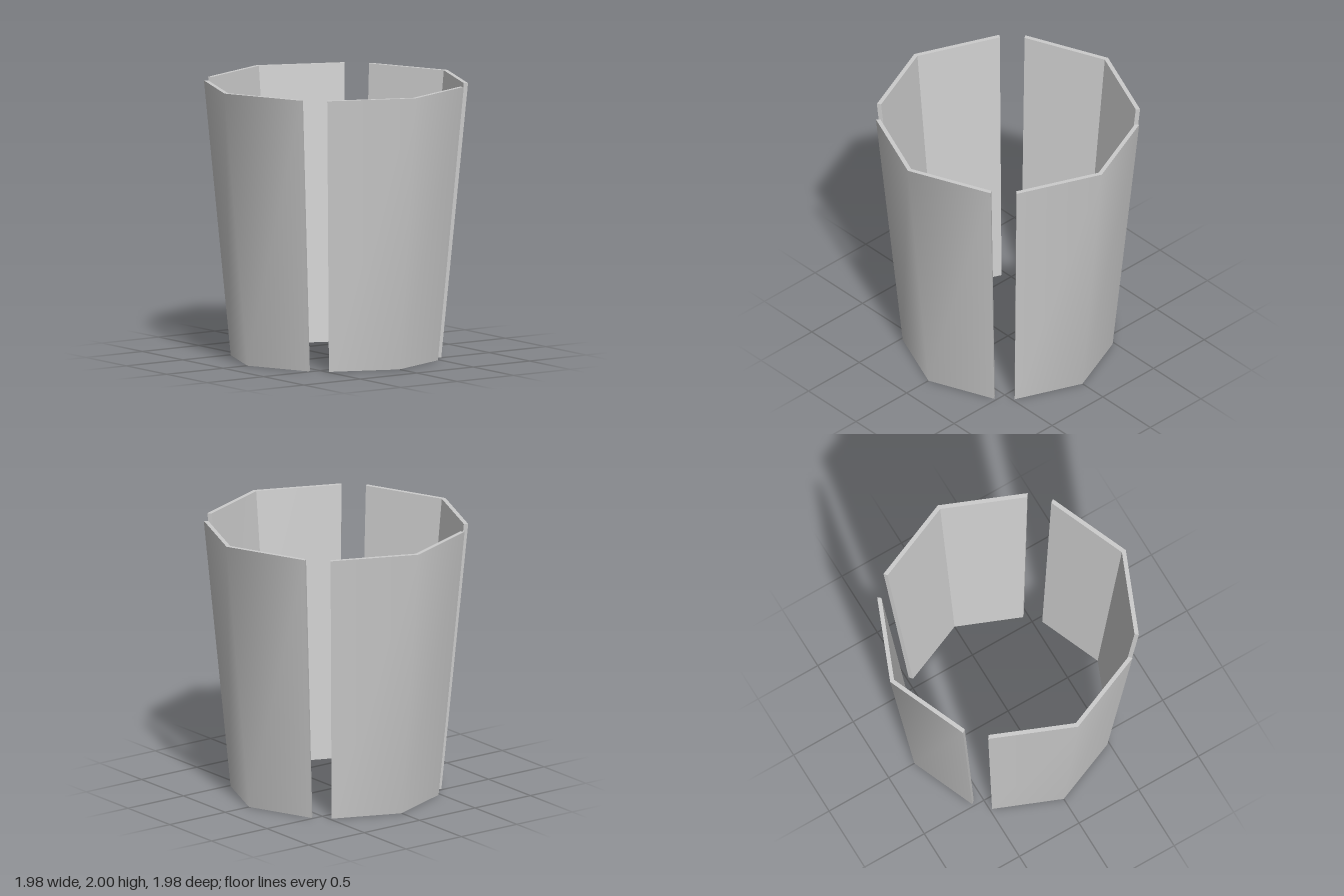
import * as THREE from 'three';

// Cross-sections of one panel as [x, z], running left to right
const OUTER_TOP = [[-0.605, 0.737], [0, 0.988], [0.605, 0.737]];
const INNER_TOP = [[-0.586, 0.712], [0, 0.955], [0.586, 0.712]];
const OUTER_BOTTOM = [[-0.483, 0.587], [0, 0.785], [0.483, 0.587]];
const INNER_BOTTOM = [[-0.462, 0.562], [0, 0.752], [0.462, 0.562]];
const HEIGHT = 2;

function panelGeometry() {
  const positions = [];
  const index = [];
  const at = (section, y) => section.map(([x, z]) => [x, y, z]);
  const ob = at(OUTER_BOTTOM, 0), ot = at(OUTER_TOP, HEIGHT);
  const ib = at(INNER_BOTTOM, 0), it = at(INNER_TOP, HEIGHT);

  // Adds vertices and returns the index of the first one
  const add = (...points) => {
    const start = positions.length / 3;
    points.forEach((p) => positions.push(...p));
    return start;
  };
  const face = (a, b, c, d) => index.push(a, b, c, a, c, d);
  const flatQuad = (...corners) => {
    const s = add(...corners);
    face(s, s + 1, s + 2, s + 3);
  };

  // Outer skin shares its vertices so it shades smoothly over the fold
  const s = add(...ob, ...ot);
  for (let i = 0; i < 2; i++) {
    face(s + i, s + i + 1, s + i + 4, s + i + 3);
    // Flat inner skin, top rim and bottom rim
    flatQuad(ib[i + 1], ib[i], it[i], it[i + 1]);
    flatQuad(ot[i], ot[i + 1], it[i + 1], it[i]);
    flatQuad(ib[i], ib[i + 1], ob[i + 1], ob[i]);
  }
  // Closed side edges
  flatQuad(ob[2], ib[2], it[2], ot[2]);
  flatQuad(ib[0], ob[0], ot[0], it[0]);

  const geometry = new THREE.BufferGeometry();
  geometry.setAttribute('position', new THREE.Float32BufferAttribute(positions, 3));
  geometry.setIndex(index);
  geometry.computeVertexNormals();
  return geometry;
}

export function createModel() {
  const model = new THREE.Group();
  model.name = 'taperedShell';
  const material = new THREE.MeshStandardMaterial({ color: 0xcccccc });
  const geometry = panelGeometry();

  // Four folded panels around the axis with a slot between neighbours
  ['frontPanel', 'leftPanel', 'backPanel', 'rightPanel'].forEach((name, i) => {
    const panel = new THREE.Mesh(geometry, material);
    panel.name = name;
    panel.rotation.y = (i * Math.PI) / 2;
    model.add(panel);
  });
  return model;
}
